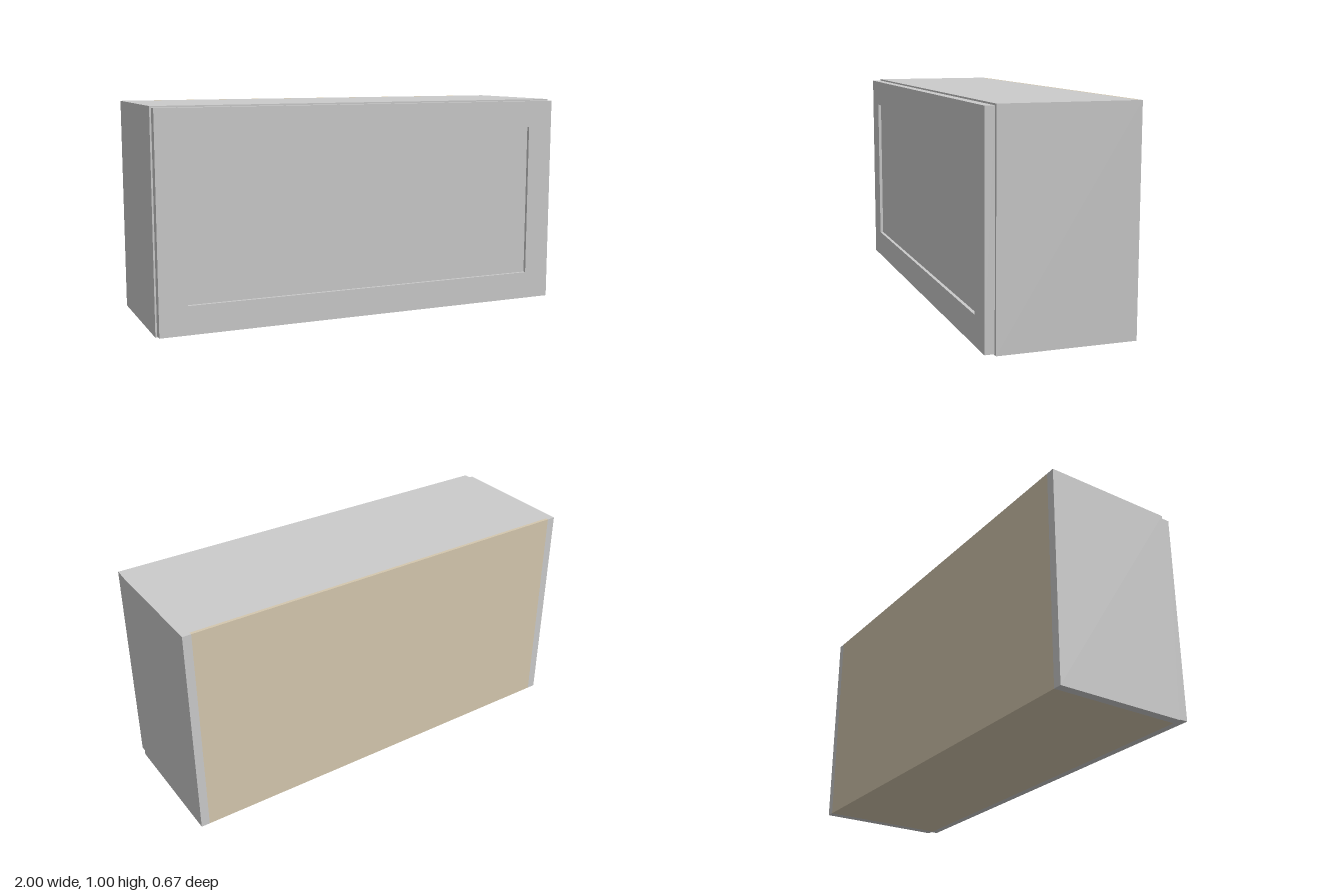
import * as THREE from 'three';

export function createModel() {
  const cabinet = new THREE.Group();
  cabinet.name = 'wallCabinet';
  const grey = new THREE.MeshStandardMaterial({ color: 0xcccccc });
  const wood = new THREE.MeshStandardMaterial({ color: 0xd4c7ae });

  // box given by its min and max corners
  function panel(name, min, max, material, parent = cabinet) {
    const size = max.map((v, i) => v - min[i]);
    const mesh = new THREE.Mesh(new THREE.BoxGeometry(...size), material);
    mesh.position.set(...min.map((v, i) => v + size[i] / 2));
    mesh.name = name;
    parent.add(mesh);
    return mesh;
  }

  const back = -0.333, front = 0.287, board = 0.04, inner = 1 - board;
  const backFront = back + 0.014;

  // carcass
  panel('leftSide', [inner, 0, back], [1, 1, front], grey);
  panel('rightSide', [-1, 0, back], [-inner, 1, front], grey);
  panel('topPanel', [-inner, 1 - board, backFront], [inner, 1, front], grey);
  panel('bottomPanel', [-inner, 0, backFront], [inner, board, front], wood);
  panel('backPanel', [-inner, 0, back], [inner, 1, backFront], wood);

  // door: frame with a rectangular opening and a recessed centre panel
  const door = new THREE.Group();
  door.name = 'door';
  cabinet.add(door);
  const doorBack = 0.29, doorFront = 0.333;
  const x = 0.993, y0 = 0.007, y1 = 0.993;
  const px = 0.865, py0 = 0.138, py1 = 0.866;

  const outline = new THREE.Shape([
    new THREE.Vector2(-x, y0), new THREE.Vector2(x, y0),
    new THREE.Vector2(x, y1), new THREE.Vector2(-x, y1),
  ]);
  outline.holes.push(new THREE.Path([
    new THREE.Vector2(-px, py0), new THREE.Vector2(-px, py1),
    new THREE.Vector2(px, py1), new THREE.Vector2(px, py0),
  ]));
  const frame = new THREE.Mesh(
    new THREE.ExtrudeGeometry(outline, { depth: doorFront - doorBack, bevelEnabled: false }), grey);
  frame.position.z = doorBack;
  frame.name = 'doorFrame';
  door.add(frame);
  panel('doorPanel', [-px, py0, doorBack + 0.01], [px, py1, doorFront - 0.015], grey, door);

  return cabinet;
}
